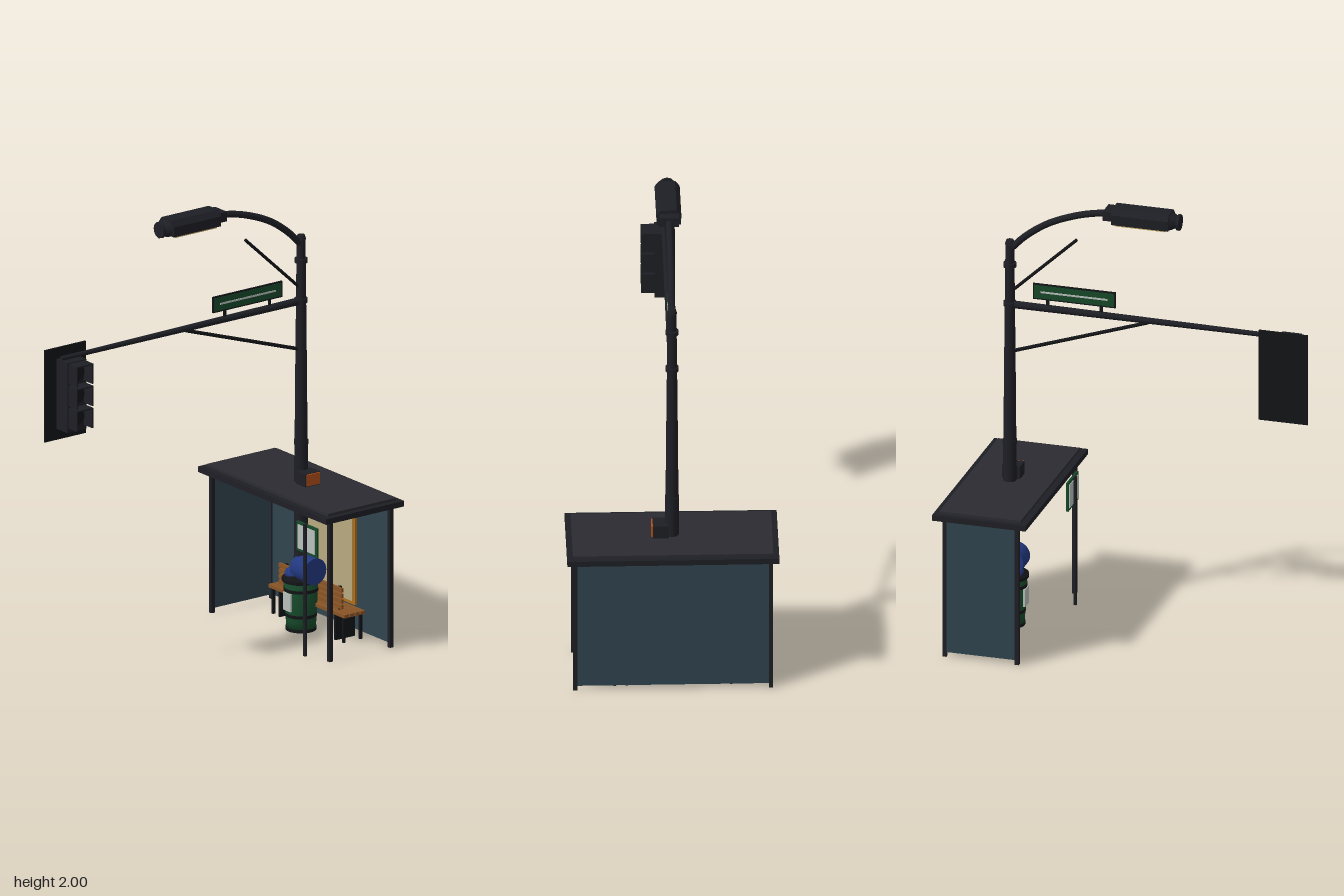
import * as THREE from 'three';

const mat = (color) => new THREE.MeshStandardMaterial({ color, side: THREE.DoubleSide });
const M = {
  metal: mat(0x1e1f25), dark: mat(0x131417), roof: mat(0x2b2b31), glass: mat(0x30444f),
  orange: mat(0xb0701c), cream: mat(0xb8aa80), wood: mat(0x8a5426), green: mat(0x16492a),
  white: mat(0xb8c0ba), blue: mat(0x22387f), signal: mat(0xb04e1a), lamp: mat(0xc8a968),
};
const PZ = -0.57; // depth of the pole axis

export function createModel() {
  const root = new THREE.Group();
  let parent = root;
  const group = (name) => {
    parent = new THREE.Group();
    parent.name = name;
    root.add(parent);
  };
  const add = (name, geo, m, x = 0, y = 0, z = 0) => {
    const mesh = new THREE.Mesh(geo, m);
    mesh.name = name;
    mesh.position.set(x, y, z);
    parent.add(mesh);
    return mesh;
  };
  // box given by its limits on each axis
  const box = (name, m, x0, x1, y0, y1, z0, z1) =>
    add(name, new THREE.BoxGeometry(x1 - x0, y1 - y0, z1 - z0), m, (x0 + x1) / 2, (y0 + y1) / 2, (z0 + z1) / 2);
  const cyl = (name, m, rTop, rBottom, y0, y1, x = 0, z = PZ, seg = 20) =>
    add(name, new THREE.CylinderGeometry(rTop, rBottom, y1 - y0, seg), m, x, (y0 + y1) / 2, z);
  // round bar between two points in the plane x = 0
  const bar = (name, m, y0, z0, y1, z1, r0, r1 = r0) => {
    const d = new THREE.Vector3(0, y1 - y0, z1 - z0);
    const mesh = add(name, new THREE.CylinderGeometry(r1, r0, d.length(), 12), m, 0, (y0 + y1) / 2, (z0 + z1) / 2);
    mesh.quaternion.setFromUnitVectors(new THREE.Vector3(0, 1, 0), d.normalize());
    return mesh;
  };

  // street pole
  group('pole');
  cyl('lowerPole', M.metal, 0.029, 0.033, 0, 0.85);
  cyl('middlePole', M.metal, 0.025, 0.028, 0.85, 1.2);
  cyl('upperPole', M.metal, 0.019, 0.025, 1.2, 1.77);
  cyl('poleCap', M.metal, 0.016, 0.022, 1.765, 1.785);
  for (const [y, r] of [[0.85, 0.031], [1.49, 0.028], [1.67, 0.028]]) cyl('collar', M.metal, r, r, y - 0.01, y + 0.01);

  // street lamp on its curved arm
  group('streetLamp');
  const curve = new THREE.CatmullRomCurve3([[1.74, -0.57], [1.81, -0.5], [1.88, -0.4], [1.93, -0.28], [1.955, -0.18], [1.963, -0.1]]
    .map(([y, z]) => new THREE.Vector3(0, y, z)));
  add('lampArm', new THREE.TubeGeometry(curve, 28, 0.015, 12), M.metal);
  bar('lampBrace', M.dark, 1.55, -0.56, 1.82, -0.27, 0.007);
  box('lampNeck', M.metal, -0.043, 0.043, 1.942, 1.985, -0.14, -0.08);
  const s = new THREE.Shape([[-0.052, 1.93], [0.052, 1.93], [0.054, 1.975], [0.034, 2], [-0.034, 2], [-0.054, 1.975]]
    .map((p) => new THREE.Vector2(...p)));
  add('lampHead', new THREE.ExtrudeGeometry(s, { depth: 0.255, bevelEnabled: false }), M.metal, 0, 0, -0.1);
  box('lampLens', M.lamp, -0.043, 0.043, 1.922, 1.932, -0.085, 0.14);
  const nose = add('lampNose', new THREE.CylinderGeometry(0.03, 0.05, 0.03, 8), M.metal, 0, 1.958, 0.17);
  nose.rotation.x = Math.PI / 2;
  nose.scale.z = 0.8;
  add('lampTip', new THREE.CylinderGeometry(0.036, 0.036, 0.012, 12), M.metal, 0, 1.957, 0.19).rotation.x = Math.PI / 2;

  // signal arm with brace
  group('signalArm');
  bar('mastArm', M.metal, 1.487, PZ, 1.482, 0.72, 0.017, 0.01);
  bar('mastBrace', M.dark, 1.27, -0.56, 1.475, 0.05, 0.008);

  // street sign above the arm, lined on both sides
  group('streetSign');
  box('signBorder', M.dark, -0.004, 0.004, 1.525, 1.597, -0.466, -0.095);
  box('signBoard', M.green, -0.006, 0.006, 1.531, 1.591, -0.46, -0.101);
  box('signStripe', M.white, -0.008, 0.008, 1.557, 1.565, -0.43, -0.13);
  for (const z of [-0.4, -0.16]) box('signBracket', M.dark, -0.004, 0.004, 1.49, 1.53, z - 0.006, z + 0.006);

  // three-light traffic signal facing +x
  group('trafficSignal');
  box('backPlate', M.dark, -0.045, -0.037, 1.105, 1.52, 0.56, 0.78);
  box('signalHousing', M.metal, -0.037, 0.04, 1.155, 1.47, 0.615, 0.718);
  for (let i = 0; i < 3; i++) {
    const y = 1.175 + i * 0.1;
    box('visorTop', M.metal, 0.04, 0.098, y + 0.085, y + 0.091, 0.622, 0.711);
    for (const z of [0.622, 0.705]) box('visorSide', M.metal, 0.04, 0.098, y, y + 0.091, z, z + 0.006);
    add('signalLens', new THREE.CylinderGeometry(0.036, 0.036, 0.01, 24), M.dark, 0.042, y + 0.043, 0.667).rotation.z = Math.PI / 2;
  }

  // bus shelter, closed at the back and on the -x side
  group('shelter');
  box('roof', M.metal, -0.455, 0.455, 0.635, 0.66, -0.78, -0.36);
  box('roofTop', M.roof, -0.43, 0.43, 0.66, 0.672, -0.755, -0.388);
  for (const x of [-0.42, 0.42]) for (const z of [-0.732, -0.408]) box('post', M.metal, x - 0.009, x + 0.009, 0, 0.64, z - 0.009, z + 0.009);
  box('backPanel', M.glass, -0.412, 0.412, 0.02, 0.636, -0.736, -0.728);
  box('sidePanel', M.glass, -0.424, -0.416, 0.02, 0.636, -0.728, -0.412);
  box('posterFrame', M.orange, -0.187, 0.187, 0.13, 0.56, -0.729, -0.718);
  box('poster', M.cream, -0.17, 0.17, 0.145, 0.543, -0.722, -0.715);

  // stop sign post in front of the shelter
  group('timetable');
  cyl('timetablePost', M.metal, 0.008, 0.008, 0, 0.595, 0.295, -0.368, 12);
  box('timetableFrame', M.green, 0.222, 0.368, 0.458, 0.59, -0.386, -0.376);
  box('timetableSheet', M.white, 0.234, 0.356, 0.47, 0.578, -0.378, -0.373);

  // bench
  group('bench');
  for (let i = 0; i < 4; i++) box('seatSlat', M.wood, -0.27, 0.27, 0.115, 0.13, -0.71 + i * 0.029, -0.686 + i * 0.029);
  for (let i = 0; i < 4; i++) box('backSlat', M.wood, -0.222, 0.222, 0.14 + i * 0.025, 0.159 + i * 0.025, -0.63, -0.618);
  for (const sx of [-1, 1]) {
    box('benchEnd', M.dark, sx * 0.198 - 0.006, sx * 0.198 + 0.006, 0, 0.115, -0.705, -0.602);
    for (const z of [-0.7, -0.61]) box('benchLeg', M.dark, sx * 0.25 - 0.006, sx * 0.25 + 0.006, 0, 0.125, z - 0.006, z + 0.006);
    box('backSupport', M.dark, sx * 0.19 - 0.006, sx * 0.19 + 0.006, 0.12, 0.235, -0.642, -0.63);
  }

  // litter bin around the foot of the pole
  group('litterBin');
  const profile = [[0, 0.005], [0.062, 0.005], [0.066, 0.05], [0.076, 0.235], [0, 0.235]].map((p) => new THREE.Vector2(...p));
  add('binBody', new THREE.LatheGeometry(profile, 28), M.green, 0, 0, PZ);
  for (const [y, r] of [[0.012, 0.067], [0.075, 0.069], [0.19, 0.076], [0.232, 0.083]]) cyl('binBand', M.dark, r, r, y - 0.007, y + 0.007, 0, PZ, 28);
  cyl('binLid', M.dark, 0.05, 0.08, 0.238, 0.262, 0, PZ, 28);
  box('binLabel', M.white, -0.026, 0.026, 0.1, 0.18, PZ + 0.068, PZ + 0.077);

  // blue drum on the bin
  group('blueDrum');
  add('drum', new THREE.CylinderGeometry(0.06, 0.06, 0.1, 28), M.blue, 0.05, 0.287, PZ).rotation.z = Math.PI / 2;
  const bag = add('blueBag', new THREE.SphereGeometry(0.055, 20, 12), M.blue, -0.015, 0.255, PZ + 0.01);
  bag.scale.y = 0.58;

  // pedestrian signal on the pole
  group('pedestrianSignal');
  box('signalCase', M.metal, 0.015, 0.083, 0.672, 0.73, -0.61, -0.53);
  box('signalFace', M.signal, 0.083, 0.09, 0.677, 0.728, -0.604, -0.535);

  return root;
}
